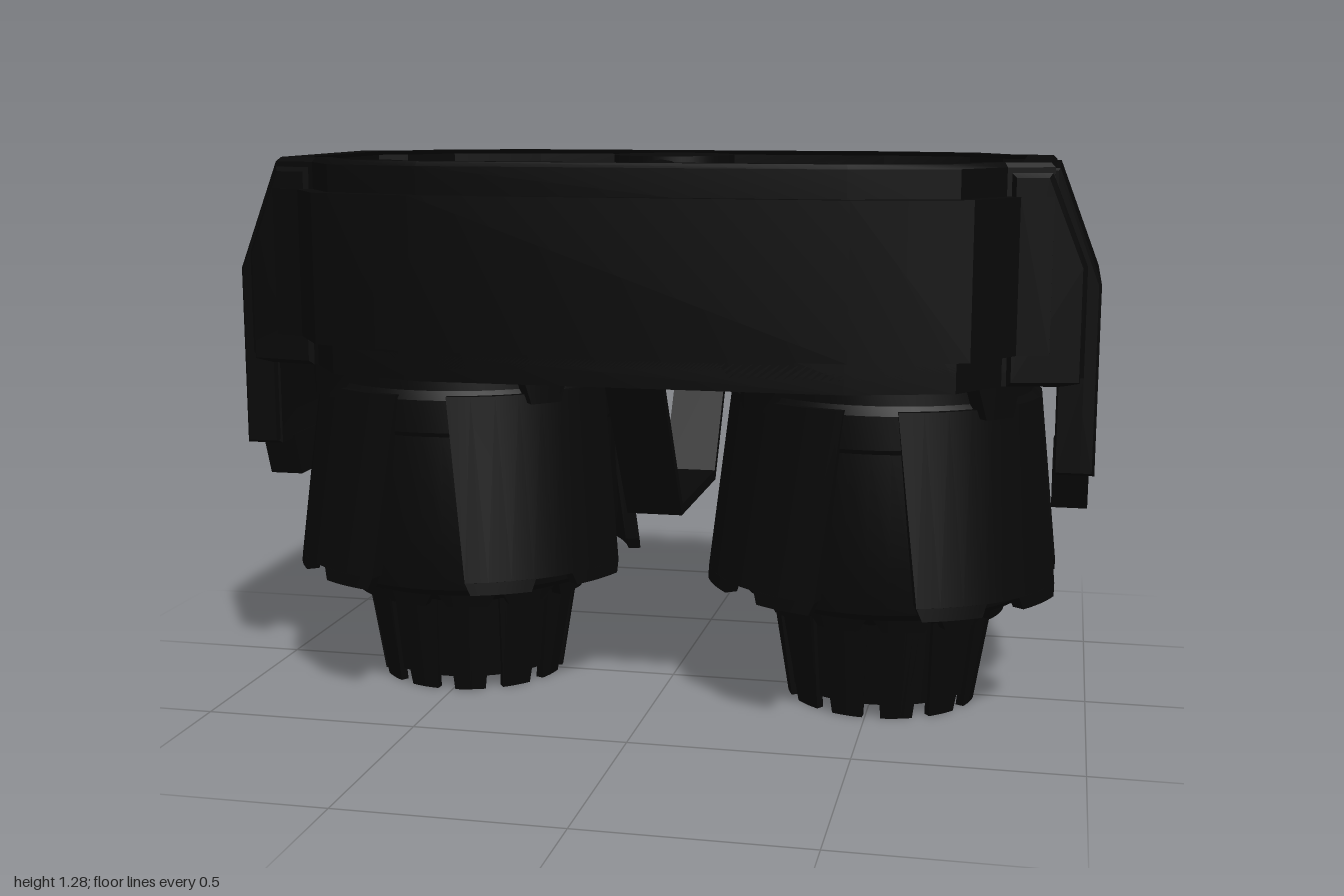
import * as THREE from 'three';
import { toCreasedNormals } from 'three/addons/utils/BufferGeometryUtils.js';

const dark = new THREE.MeshStandardMaterial({ color: 0x080808, side: THREE.DoubleSide });
dark.name = 'matte black';

function add(parent, name, geometry, x = 0, y = 0, z = 0) {
  const mesh = new THREE.Mesh(toCreasedNormals(geometry, 0.5), dark);
  mesh.name = name;
  mesh.position.set(x, y, z);
  parent.add(mesh);
  return mesh;
}

// Closed outline from one quarter, mirrored in both axes
function mirrored(q) {
  const r = [...q].reverse();
  return [
    ...q,
    ...r.map(([x, z]) => [x, -z]),
    ...q.map(([x, z]) => [-x, -z]),
    ...r.map(([x, z]) => [-x, z]),
  ].map(([x, z]) => new THREE.Vector2(x, z));
}

const rect = (x0, x1, h) => [[x0, -h], [x1, -h], [x1, h], [x0, h]].map(([x, z]) => new THREE.Vector2(x, z));

function extrude(points, holes, depth, bevel) {
  const shape = new THREE.Shape(points);
  holes.forEach((h) => shape.holes.push(new THREE.Path(h)));
  return new THREE.ExtrudeGeometry(shape, {
    depth: depth - 2 * bevel, bevelEnabled: bevel > 0, bevelSize: bevel,
    bevelThickness: bevel, bevelOffset: -bevel, bevelSegments: 1,
  });
}

// Horizontal slab between two heights
function slab(points, y0, y1, holes = [], bevel = 0) {
  return extrude(points, holes, y1 - y0, bevel).rotateX(-Math.PI / 2).translate(0, y0 + bevel, 0);
}

// Profile in x and y, extruded symmetrically along z
function profile(points, width, bevel = 0, holes = []) {
  const vec = (list) => list.map(([x, y]) => new THREE.Vector2(x, y));
  return extrude(vec(points), holes.map(vec), width, bevel).translate(0, 0, bevel - width / 2);
}

// Narrow a cap profile towards its outer end
function tapered(geometry, x0, x1, scale) {
  const p = geometry.attributes.position;
  for (let i = 0; i < p.count; i++) {
    const t = THREE.MathUtils.clamp((p.getX(i) - x0) / (x1 - x0), 0, 1);
    p.setZ(i, p.getZ(i) * THREE.MathUtils.lerp(1, scale, t));
  }
  return geometry;
}

// Plate wrapped round the y axis: radius, height and half angle at bottom and top
function wrapped([r0, y0, a0], [r1, y1, a1], thick, direction) {
  const g = new THREE.BoxGeometry(1, 1, 1, 8, 1, 1);
  const p = g.attributes.position;
  for (let i = 0; i < p.count; i++) {
    const t = p.getY(i) + 0.5;
    const a = direction + 2 * p.getX(i) * THREE.MathUtils.lerp(a0, a1, t);
    const r = THREE.MathUtils.lerp(r0, r1, t) + (p.getZ(i) - 0.5) * thick;
    p.setXYZ(i, Math.sin(a) * r, THREE.MathUtils.lerp(y0, y1, t), Math.cos(a) * r);
  }
  return g;
}

function lathe(points) {
  return new THREE.LatheGeometry(points.map(([r, y]) => new THREE.Vector2(r, y)), 48);
}

function buildEngine(x) {
  const engine = new THREE.Group();
  engine.name = 'engine';
  engine.position.x = x;

  // Casing with a band at the top and rounded shoulder
  add(engine, 'casing', lathe([
    [0.26, 0.27], [0.335, 0.272], [0.346, 0.285], [0.366, 0.4], [0.355, 0.65],
    [0.36, 0.66], [0.357, 0.735], [0.34, 0.755], [0.335, 0.81],
  ]));
  for (let i = 0; i < 4; i++) {
    const diagonal = (i * Math.PI) / 2 + Math.PI / 4;
    // Wide flared skirts, leaving a tapered gap on each axis
    add(engine, 'flaredSkirt', wrapped([0.419, 0.32, 0.515], [0.364, 0.745, 0.62], 0.035, diagonal));
    for (const s of [-1, 1]) {
      add(engine, 'skirtTip', wrapped([0.422, 0.292, 0.17], [0.419, 0.321, 0.2], 0.03, diagonal + s * 0.315));
    }
    add(engine, 'mountLug', wrapped([0.39, 0.725, 0.1], [0.39, 0.8, 0.16], 0.06, diagonal));
  }

  // Scalloped ring above the nozzle
  add(engine, 'nozzleRing', lathe([[0.255, 0.235], [0.285, 0.25], [0.32, 0.275]]));
  for (let i = 0; i < 12; i++) {
    const a = ((i + 0.5) * Math.PI) / 6;
    add(engine, 'ringScallop', wrapped([0.288, 0.228, 0.17], [0.302, 0.275, 0.262], 0.03, a));
    add(engine, 'nozzlePetal', wrapped([0.224, 0.004, 0.165], [0.264, 0.25, 0.235], 0.02, a));
  }
  // Deep hollow inside the nozzle
  add(engine, 'nozzleLiner', lathe([[0, 0.27], [0.235, 0.25], [0.208, 0.035], [0.218, 0.035], [0.252, 0.25]]));
  return engine;
}

function buildEndCap(side) {
  const cap = new THREE.Group();
  cap.name = 'endCap';
  // Wide shoulder, lower flange, then narrower outer armour with its sloping top
  const shoulder = profile([[0.8, 0.8], [0.965, 0.8], [0.965, 1.06], [0.885, 1.26], [0.8, 1.26]], 0.6, 0.01);
  add(cap, 'capShoulder', tapered(shoulder, 0.83, 0.965, 0.9));
  add(cap, 'capFlange', profile([[0.912, 0.61], [0.965, 0.61], [0.965, 0.82], [0.912, 0.82]], 0.54));
  add(cap, 'capArmour', profile([[0.908, 0.6], [0.996, 0.6], [0.996, 1.02], [0.9, 1.27], [0.86, 1.27], [0.908, 1.0]], 0.5, 0.006));
  // Hatch on the end face
  add(cap, 'hatch', new THREE.BoxGeometry(0.006, 0.31, 0.15), 0.996, 0.815, 0);
  // Hanging tab with slanted sides
  const tab = profile([[-0.145, 0.505], [0.145, 0.505], [0.185, 0.61], [-0.185, 0.61]], 0.08);
  add(cap, 'tab', tab.rotateY(Math.PI / 2), 0.945);
  if (side < 0) cap.rotation.y = Math.PI;
  return cap;
}

export function createModel() {
  const model = new THREE.Group();
  model.name = 'twinThrusterPod';

  // Housing: hull, raised belt and rims
  const hull = mirrored([[0.47, 0.485], [0.7, 0.42], [0.79, 0.29], [0.89, 0.265]]);
  const belt = mirrored([[0.48, 0.512], [0.73, 0.445], [0.82, 0.31], [0.89, 0.29]]);
  const inner = mirrored([[0.455, 0.45], [0.675, 0.39], [0.76, 0.265], [0.83, 0.24]]);
  add(model, 'hull', slab(hull, 0.83, 1.17));
  add(model, 'belt', slab(belt, 0.87, 1.21, [inner]));
  add(model, 'topRim', slab(hull, 1.16, 1.282, [inner], 0.01));
  add(model, 'bottomRim', slab(hull, 0.8, 0.86, [inner]));

  // Recessed deck with two long channels
  add(model, 'deck', slab(inner, 1.16, 1.22, [rect(0.12, 0.77, 0.06), rect(-0.77, -0.12, 0.06)]));
  add(model, 'hub', new THREE.CylinderGeometry(0.142, 0.15, 0.13, 40), 0, 1.22, -0.012);
  add(model, 'crossTank', new THREE.CapsuleGeometry(0.078, 0.64, 8, 20).rotateX(Math.PI / 2), 0, 1.2, 0);

  // Folded strap under the middle
  const strap = profile(
    [[-0.43, 0.81], [-0.21, 0.46], [0.21, 0.46], [0.43, 0.81]], 0.13, 0,
    [[[-0.395, 0.8], [-0.2, 0.485], [0.2, 0.485], [0.395, 0.8]]],
  );
  add(model, 'centreStrap', strap.rotateY(Math.PI / 2));

  for (const side of [1, -1]) {
    model.add(buildEndCap(side));
    model.add(buildEngine(side * 0.515));
    // Plug joining engine and hull
    add(model, 'engineMount', new THREE.CylinderGeometry(0.33, 0.33, 0.1, 40), side * 0.515, 0.81, 0);
  }
  return model;
}
